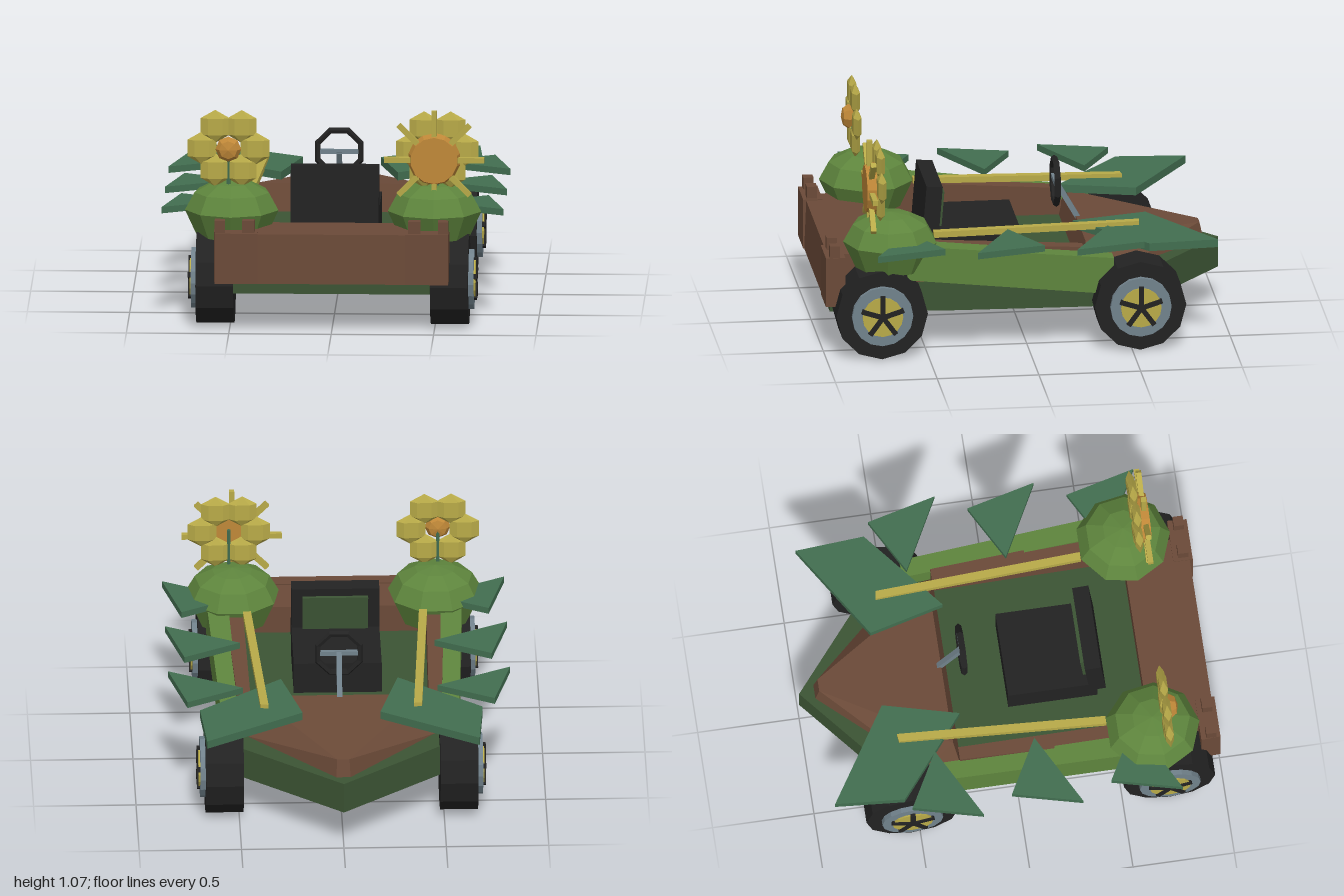
import * as THREE from 'three';
import { ConvexGeometry } from 'three/addons/geometries/ConvexGeometry.js';

const mat = (name, color) => {
  const m = new THREE.MeshStandardMaterial({ color, flatShading: true });
  m.name = name;
  return m;
};

export function createModel() {
  const model = new THREE.Group();
  model.name = 'gardenKart';
  const hullGreen = mat('dark green', 0x3c5434), leafGreen = mat('leaf green', 0x426e50);
  const bushGreen = mat('bush green', 0x5e853d), brown = mat('brown', 0x6b4a38);
  const yellow = mat('yellow', 0xb8aa48), orange = mat('orange', 0xc08838);
  const black = mat('black', 0x222222), grey = mat('blue grey', 0x71828c);

  const add = (name, geo, material, x = 0, y = 0, z = 0, parent = model) => {
    const m = new THREE.Mesh(geo, material);
    m.name = name;
    m.position.set(x, y, z);
    parent.add(m);
    return m;
  };
  const box = (name, w, h, d, material, x, y, z, parent) =>
    add(name, new THREE.BoxGeometry(w, h, d), material, x, y, z, parent);
  const convex = (name, pts, material) =>
    add(name, new ConvexGeometry(pts.map(p => new THREE.Vector3(...p))), material);
  // Flat plate from an outline of [x, z] points, with its top at y
  const plate = (name, pts, top, depth, material) => {
    const shape = new THREE.Shape(pts.map(p => new THREE.Vector2(...p)));
    const geo = new THREE.ExtrudeGeometry(shape, { depth, bevelEnabled: false });
    return add(name, geo.rotateX(Math.PI / 2), material, 0, top, 0);
  };
  // Solid between two rectangles [x0, x1, y0, y1] at z = a and z = b
  const taper = (name, s, a, ra, b, rb, material) => {
    const pts = [];
    for (const [z, r] of [[a, ra], [b, rb]])
      for (const x of [r[0], r[1]]) for (const y of [r[2], r[3]]) pts.push([s * x, y, z]);
    return convex(name, pts, material);
  };

  // Hull with pointed nose
  plate('hull', [[0, -1], [0.53, -0.56], [0.55, -0.3], [0.53, 0.4], [0.48, 0.965],
    [-0.48, 0.965], [-0.53, 0.4], [-0.55, -0.3], [-0.53, -0.56]], 0.352, 0.155, hullGreen);

  // Hood
  const hood = [];
  for (const s of [-1, 1]) hood.push(
    [s * 0.035, 0.35, -0.925], [s * 0.47, 0.35, -0.45], [s * 0.5, 0.35, -0.27],
    [s * 0.03, 0.44, -0.905], [s * 0.41, 0.488, -0.3]);
  convex('hood', hood, brown);

  // Rear deck and tail board
  box('rearDeck', 0.96, 0.21, 0.3, brown, 0, 0.385, 0.81);
  convex('tailBoard', [-1, 1].flatMap(s => [
    [s * 0.48, 0.25, 0.93], [s * 0.48, 0.25, 0.99],
    [s * 0.48, 0.495, 0.9], [s * 0.48, 0.495, 0.98]]), brown);

  // Wheel, built around the x axis and facing outward on side s
  const wheel = (s, z) => {
    const g = new THREE.Group();
    g.name = 'wheel';
    g.position.set(0, 0.228, z);
    model.add(g);
    const disc = (name, r, x0, x1, sides, m) => add(name,
      new THREE.CylinderGeometry(r, r, x1 - x0, sides).rotateZ(Math.PI / 2),
      m, s * (x0 + x1) / 2, 0, 0, g);
    disc('tire', 0.225, 0.48, 0.665, 12, black);
    disc('rim', 0.15, 0.66, 0.69, 16, grey);
    disc('hubPlate', 0.1, 0.685, 0.698, 16, yellow);
    for (let i = 0; i < 5; i++) {
      const a = i * Math.PI * 2 / 5;
      const spoke = box('spoke', 0.018, 0.11, 0.024, black,
        s * 0.697, Math.cos(a) * 0.053, Math.sin(a) * 0.053, g);
      spoke.rotation.x = a;
    }
  };

  // Flower head with six petals
  const flower = (x, y, z) => {
    add('stem', new THREE.CylinderGeometry(0.01, 0.01, 0.22, 6), leafGreen, x, 0.77, z);
    for (let i = 0; i < 6; i++) {
      const a = i * Math.PI / 3;
      const petal = add('petal', new THREE.SphereGeometry(0.082, 6, 3), yellow,
        x + Math.cos(a) * 0.13, y + Math.sin(a) * 0.125, z);
      petal.scale.z = 0.32;
    }
  };

  for (const s of [-1, 1]) {
    // Side walls and slanted side bars
    taper('sideWall', s, 0.66, [0.45, 0.54, 0.35, 0.55], -0.28, [0.435, 0.5, 0.35, 0.487], brown);
    taper('sideBar', s, 0.6, [0.52, 0.625, 0.39, 0.565], -0.42, [0.49, 0.58, 0.265, 0.45], bushGreen);

    // Tail brackets with raised tabs
    taper('tailBracket', s, 0.9, [0.36, 0.575, 0.25, 0.5], 0.995, [0.36, 0.57, 0.25, 0.5], brown);
    box('bracketTab', 0.05, 0.07, 0.05, brown, s * 0.545, 0.525, 0.95);
    box('bracketTab', 0.06, 0.07, 0.05, brown, s * 0.405, 0.525, 0.95);

    wheel(s, 0.73);
    wheel(s, -0.54);

    // Bush over each rear wheel
    const profile = [[0, 0.42], [0.17, 0.425], [0.232, 0.56], [0.185, 0.645], [0.1, 0.69], [0, 0.705]]
      .map(p => new THREE.Vector2(...p));
    add('bush', new THREE.LatheGeometry(profile, 9), bushGreen, s * 0.495, 0, 0.67);

    // Long stalk with leaves
    plate('stalk', [[s * 0.355, -0.57], [s * 0.395, -0.565], [s * 0.45, 0.45], [s * 0.41, 0.45]],
      0.575, 0.03, yellow);
    plate('largeLeaf', [[s * 0.665, -0.92], [s * 0.19, -0.62], [s * 0.285, -0.25], [s * 0.69, -0.58]],
      0.555, 0.04, leafGreen);
    for (let i = 0; i < 3; i++) {
      const z = i * 0.49;
      plate('smallLeaf', [[s * 0.75, z - 0.55], [s * 0.475, z - 0.4], [s * 0.835, z - 0.21]],
        0.585, 0.032, leafGreen);
    }
  }

  // Small flower on the right, with a faceted centre
  flower(-0.51, 0.872, 0.73);
  add('flowerCentre', new THREE.SphereGeometry(0.063, 8, 4).rotateX(Math.PI / 2).scale(1, 1, 0.6),
    orange, -0.51, 0.872, 0.755);

  // Sunflower on the left, with a broad disc and eight rays
  flower(0.51, 0.872, 0.73);
  add('sunDisc', new THREE.CylinderGeometry(0.115, 0.13, 0.05, 14).rotateX(Math.PI / 2),
    orange, 0.495, 0.828, 0.77);
  for (let i = 0; i < 8; i++) {
    const a = i * Math.PI / 4;
    const ray = box('sunRay', 0.13, 0.026, 0.026, yellow,
      0.495 + Math.cos(a) * 0.18, 0.828 + Math.sin(a) * 0.18, 0.772);
    ray.rotation.z = a;
  }

  // Seat
  box('seatBase', 0.43, 0.16, 0.44, black, 0, 0.43, 0.22);
  const back = box('seatBack', 0.43, 0.3, 0.08, black, 0, 0.58, 0.43);
  back.rotation.x = -0.08;
  box('seatPad', 0.32, 0.18, 0.04, hullGreen, 0, 0, -0.038, back).position.y = 0.02;

  // Steering wheel and column
  add('steeringWheel', new THREE.TorusGeometry(0.112, 0.016, 5, 8).rotateZ(Math.PI / 8),
    black, 0, 0.668, -0.2);
  box('steeringSpoke', 0.2, 0.022, 0.02, grey, 0, 0.668, -0.2);
  const column = box('steeringColumn', 0.026, 0.22, 0.026, grey, 0, 0.575, -0.255);
  column.rotation.x = 0.52;

  return model;
}
